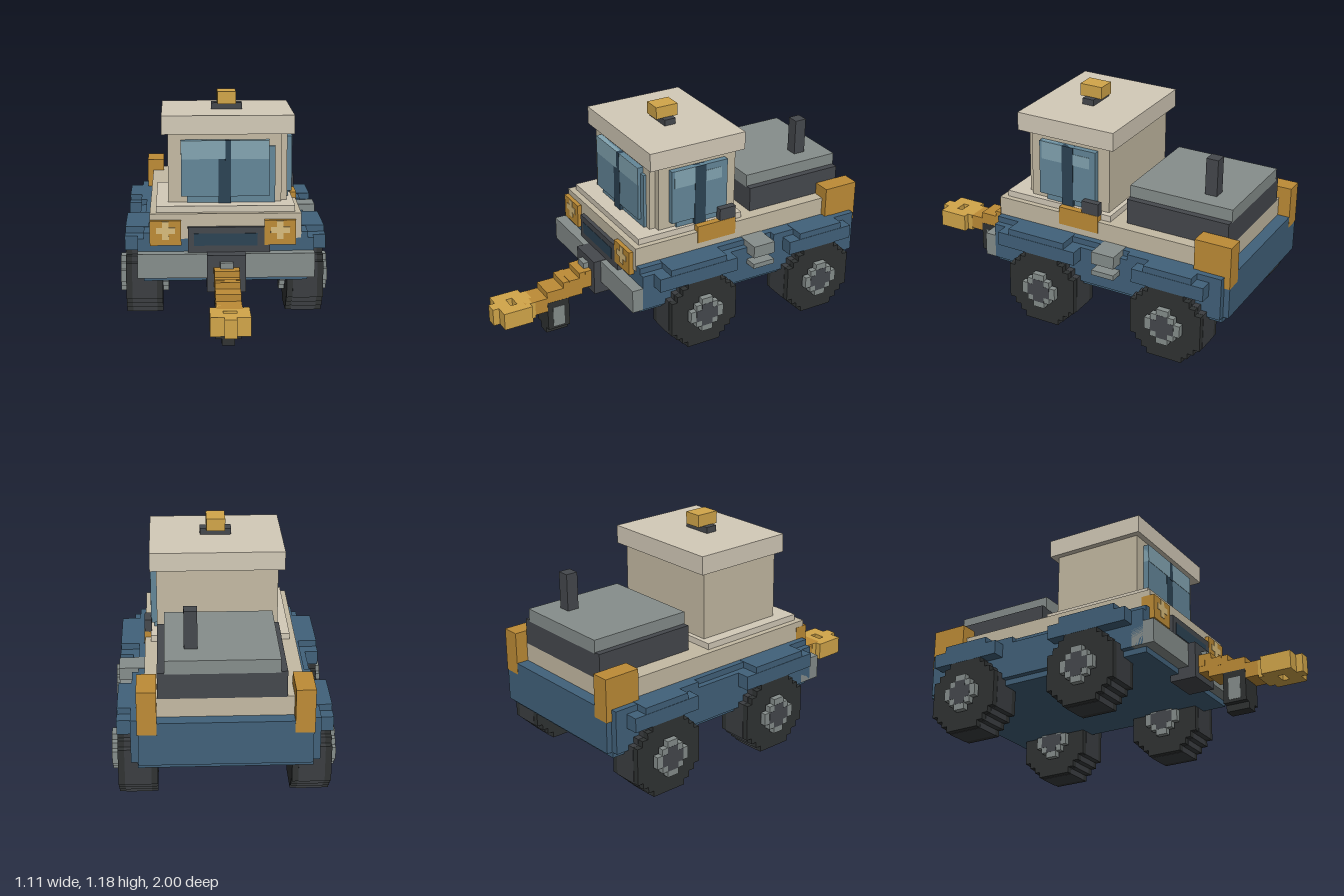
import * as THREE from 'three';

const U = 0.0325; // block size of the stepped style
const C = {
  blue: 0x41617a, cream: 0xd3cab8, tan: 0xc4baa3, grey: 0x868e8c, dark: 0x45484d,
  tyre: 0x303333, tread: 0x3b3e41, orange: 0xbe8c36, amber: 0xd2a64a, glow: 0xd9bc7c,
  glass: 0x648799, shine: 0x83a5b2, navy: 0x2c4354,
};
const mats = {};
const mat = (c) => (mats[c] ??= new THREE.MeshStandardMaterial({ color: C[c], flatShading: true }));

// box from its min and max along each axis
function box(parent, name, c, x0, x1, y0, y1, z0, z1) {
  const m = new THREE.Mesh(new THREE.BoxGeometry(x1 - x0, y1 - y0, z1 - z0), mat(c));
  m.position.set((x0 + x1) / 2, (y0 + y1) / 2, (z0 + z1) / 2);
  m.name = name;
  parent.add(m);
  return m;
}

// stepped disc: half widths per row, from the bottom row to the middle one
function steppedShape(halfWidths, u) {
  const n = halfWidths.length, right = [];
  for (let i = 0; i < 2 * n; i++) {
    const w = halfWidths[i < n ? i : 2 * n - 1 - i] * u;
    right.push([w, (i - n) * u], [w, (i + 1 - n) * u]);
  }
  const left = right.map(([x, y]) => [-x, y]).reverse();
  return new THREE.Shape([...right, ...left].map(([x, y]) => new THREE.Vector2(x, y)));
}

// disc with its axle along x
function disc(parent, name, c, shape, x0, x1) {
  const g = new THREE.ExtrudeGeometry(shape, { depth: x1 - x0, bevelEnabled: false });
  g.rotateY(Math.PI / 2).translate(x0, 0, 0);
  const m = new THREE.Mesh(g, mat(c));
  m.name = name;
  parent.add(m);
}

function wheel(side, z) {
  const w = new THREE.Group();
  w.name = 'wheel';
  const rows = [3, 4, 5, 6, 6, 6];
  disc(w, 'tyre', 'tyre', steppedShape(rows, U), -0.097, 0.097);
  disc(w, 'tread', 'tread', steppedShape(rows, U * 1.008), -0.065, 0.065);
  disc(w, 'hubPlate', 'dark', steppedShape([1, 2, 3], U), -0.1, 0.1);
  disc(w, 'hub', 'dark', steppedShape([1, 2], U), -0.13, 0.13);
  // rim blocks around the hub
  for (const s of [-1, 1]) {
    for (let i = 0; i < 8; i++) {
      const a = (i * Math.PI) / 4, r = (i % 2 ? 2.12 : 2.5) * U;
      const h = U * 0.5, y = Math.sin(a) * r, q = Math.cos(a) * r;
      const hy = i % 4 === 0 ? U : h, hz = i % 4 === 2 ? U : h;
      box(w, 'rimBlock', 'grey', s * 0.114 - 0.015, s * 0.114 + 0.015, y - hy, y + hy, q - hz, q + hz);
    }
  }
  w.position.set(side * 0.427, 6 * U, z);
  return w;
}

export function createModel() {
  const g = new THREE.Group();
  g.name = 'towTractor';

  // chassis and fenders
  box(g, 'chassis', 'blue', -0.425, 0.425, 0.235, 0.492, -0.97, 0.345);
  box(g, 'rearPanel', 'blue', -0.42, 0.42, 0.265, 0.492, -1, -0.96);
  for (const s of [-1, 1]) {
    const side = (name, c, a, b, ...rest) => box(g, name, c, Math.min(s * a, s * b), Math.max(s * a, s * b), ...rest);
    side('sideSkirt', 'blue', 0.4, 0.457, 0.265, 0.46, -0.97, 0.345);
    side('rearCorner', 'blue', 0.4, 0.457, 0.36, 0.492, -0.97, -0.45);
    for (const [z0, z1] of [[-0.905, -0.51], [-0.18, 0.28]]) {
      side('fender', 'blue', 0.4, 0.525, 0.385, 0.46, z0, z1);
      side('fenderTop', 'blue', 0.4, 0.523, 0.44, 0.494, z0 + 0.065, z1 - 0.065);
    }
    side('rearLamp', 'orange', 0.33, 0.425, 0.43, 0.657, -1.001, -0.805);
    for (const z of [0.018, -0.703]) g.add(wheel(s, z));
  }

  // cream body and engine cover
  box(g, 'lowerBody', 'tan', -0.392, 0.39, 0.46, 0.592, -0.935, 0.35);
  box(g, 'bodyDeck', 'cream', -0.36, 0.36, 0.55, 0.625, -0.3, 0.317);
  box(g, 'engineCover', 'dark', -0.295, 0.325, 0.59, 0.726, -0.937, -0.377);
  box(g, 'engineLid', 'grey', -0.262, 0.29, 0.72, 0.79, -0.939, -0.375);
  box(g, 'exhaust', 'dark', 0.13, 0.195, 0.78, 0.985, -0.81, -0.745);

  // cab and roof
  box(g, 'cabFront', 'tan', -0.298, 0.295, 0.6, 0.99, -0.275, 0.217);
  box(g, 'cabSide', 'tan', 0.28, 0.327, 0.6, 0.99, -0.275, 0.183);
  box(g, 'roof', 'cream', -0.33, 0.36, 0.987, 1.085, -0.312, 0.247);
  box(g, 'beaconBase', 'dark', -0.066, 0.097, 1.085, 1.118, -0.05, 0.015);
  box(g, 'beacon', 'amber', -0.034, 0.064, 1.116, 1.182, -0.08, 0.047);

  // windscreen
  box(g, 'windscreenBack', 'glass', -0.198, 0.262, 0.625, 0.922, 0.2, 0.232);
  box(g, 'windscreen', 'glass', -0.23, 0.23, 0.66, 0.955, 0.2, 0.248);
  box(g, 'windscreenShine', 'shine', -0.23, 0, 0.858, 0.955, 0.2, 0.25);
  box(g, 'windscreenShine', 'shine', 0.03, 0.23, 0.858, 0.955, 0.2, 0.25);
  box(g, 'windscreenPillar', 'navy', -0.034, 0.031, 0.625, 0.92, 0.2, 0.249);
  box(g, 'windscreenPillarTop', 'navy', 0, 0.03, 0.85, 0.955, 0.2, 0.251);

  // side window, on the left side only
  box(g, 'sideWindowBack', 'glass', 0.3, 0.343, 0.625, 0.922, -0.18, 0.085);
  box(g, 'sideWindow', 'glass', 0.3, 0.358, 0.66, 0.955, -0.21, 0.12);
  box(g, 'sideWindowShine', 'shine', 0.3, 0.36, 0.858, 0.92, -0.175, -0.045);
  box(g, 'sideWindowShine', 'shine', 0.3, 0.36, 0.858, 0.955, -0.015, 0.105);
  box(g, 'sideWindowPillar', 'navy', 0.3, 0.361, 0.625, 0.955, -0.08, -0.015);

  // side locker and steps
  box(g, 'locker', 'orange', 0.33, 0.394, 0.527, 0.624, -0.245, -0.015);
  box(g, 'lockerHandle', 'dark', 0.355, 0.392, 0.62, 0.69, -0.245, -0.15);
  box(g, 'upperStep', 'grey', 0.39, 0.525, 0.427, 0.494, -0.41, -0.283);
  box(g, 'lowerStep', 'grey', 0.44, 0.525, 0.363, 0.39, -0.41, -0.283);

  // front: bumper, grille and headlights
  box(g, 'bumper', 'grey', -0.457, 0.457, 0.265, 0.392, 0.28, 0.405);
  box(g, 'grille', 'dark', -0.197, 0.228, 0.39, 0.525, 0.3, 0.372);
  box(g, 'grilleInset', 'navy', -0.165, 0.163, 0.428, 0.492, 0.35, 0.374);
  for (const x of [-0.312, 0.279]) {
    box(g, 'headlight', 'orange', x - 0.081, x + 0.081, 0.43, 0.56, 0.3, 0.373);
    box(g, 'headlightGlow', 'glow', x - 0.049, x + 0.049, 0.492, 0.525, 0.36, 0.376);
    box(g, 'headlightGlow', 'glow', x - 0.017, x + 0.017, 0.46, 0.557, 0.36, 0.376);
  }

  // tow hitch
  box(g, 'hitchMount', 'dark', -0.1, 0.1, 0.2, 0.394, 0.3, 0.445);
  box(g, 'hitchPin', 'grey', -0.033, 0.033, 0.3, 0.362, 0.43, 0.475);
  for (const [y0, y1, z0, z1, w] of [
    [0.232, 0.33, 0.44, 0.515, 0.064], [0.2, 0.298, 0.5, 0.61, 0.064],
    [0.166, 0.265, 0.6, 0.705, 0.064], [0.15, 0.23, 0.69, 0.83, 0.064],
    [0.265, 0.33, 0.44, 0.48, 0.066], [0.25, 0.3, 0.55, 0.575, 0.066],
  ]) box(g, 'drawbar', 'orange', -w, w, y0, y1, z0, z1);

  // tow eye: stepped ring with a hole
  const eye = new THREE.Shape([
    [-0.03, 0.115], [-0.03, 0.08], [-0.065, 0.08], [-0.098, 0.08], [-0.098, -0.08], [-0.065, -0.08],
    [-0.065, -0.11], [0.065, -0.11], [0.065, -0.08], [0.098, -0.08], [0.098, 0.05], [0.098, 0.08],
    [0.03, 0.08], [0.03, 0.115],
  ].map((p) => new THREE.Vector2(...p)));
  eye.holes.push(new THREE.Path([[-0.033, -0.02], [0.033, -0.02], [0.033, 0.015], [-0.033, 0.015]]
    .map((p) => new THREE.Vector2(...p))));
  const ring = new THREE.Mesh(new THREE.ExtrudeGeometry(eye, { depth: 0.095, bevelEnabled: false }), mat('amber'));
  ring.rotation.x = Math.PI / 2;
  ring.position.set(0, 0.23, 0.885);
  ring.name = 'towEye';
  g.add(ring);

  // support wheel under the drawbar
  box(g, 'supportWheel', 'tyre', -0.065, 0.065, 0.035, 0.2, 0.58, 0.705);
  box(g, 'supportWheelTread', 'tyre', -0.033, 0.033, 0, 0.2, 0.58, 0.705);
  box(g, 'supportWheelCap', 'grey', -0.067, 0.067, 0.05, 0.165, 0.61, 0.675);

  return g;
}
